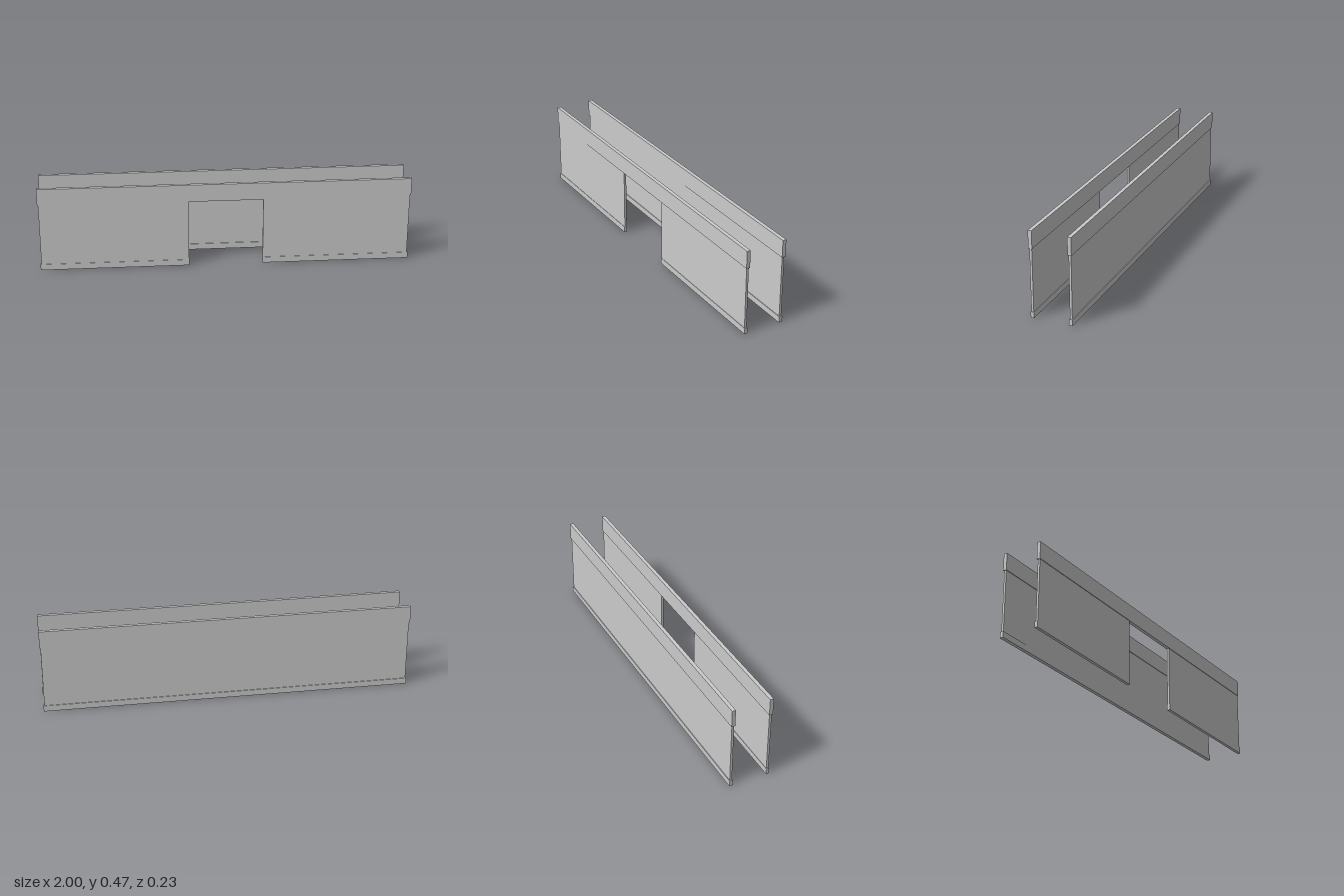
import * as THREE from 'three';

const material = new THREE.MeshStandardMaterial({ color: 0xcccccc });
const BASE_TOP = 0.033, BEAM_BOTTOM = 0.371, TOP = 0.466;

// Box given by its limits along each axis
function block(name, [x0, x1], [y0, y1], [z0, z1]) {
  const mesh = new THREE.Mesh(new THREE.BoxGeometry(x1 - x0, y1 - y0, z1 - z0), material);
  mesh.position.set((x0 + x1) / 2, (y0 + y1) / 2, (z0 + z1) / 2);
  mesh.name = name;
  return mesh;
}

// Wall: thin panels with a thicker skirting below and one long beam on top
function wall(name, z, baseDepth, sections) {
  const group = new THREE.Group();
  group.name = name;
  const across = (depth) => [z - depth / 2, z + depth / 2];
  group.add(block('topBeam', [-1, 1], [BEAM_BOTTOM, TOP], across(0.02)));
  for (const [x0, x1] of sections) {
    // Panels stop just short of the outer ends
    const inset = [Math.max(x0, -0.995), Math.min(x1, 0.995)];
    group.add(block('panel', inset, [BASE_TOP, BEAM_BOTTOM], across(0.0125)));
    group.add(block('skirting', [x0, x1], [0, BASE_TOP], across(baseDepth)));
  }
  return group;
}

export function createModel() {
  const model = new THREE.Group();
  model.name = 'parallelWalls';
  // Front wall has a central doorway, back wall is continuous
  model.add(wall('frontWall', 0.104, 0.017, [[-1, -0.2], [0.2, 1]]));
  model.add(wall('backWall', -0.103, 0.02, [[-1, 1]]));
  return model;
}
